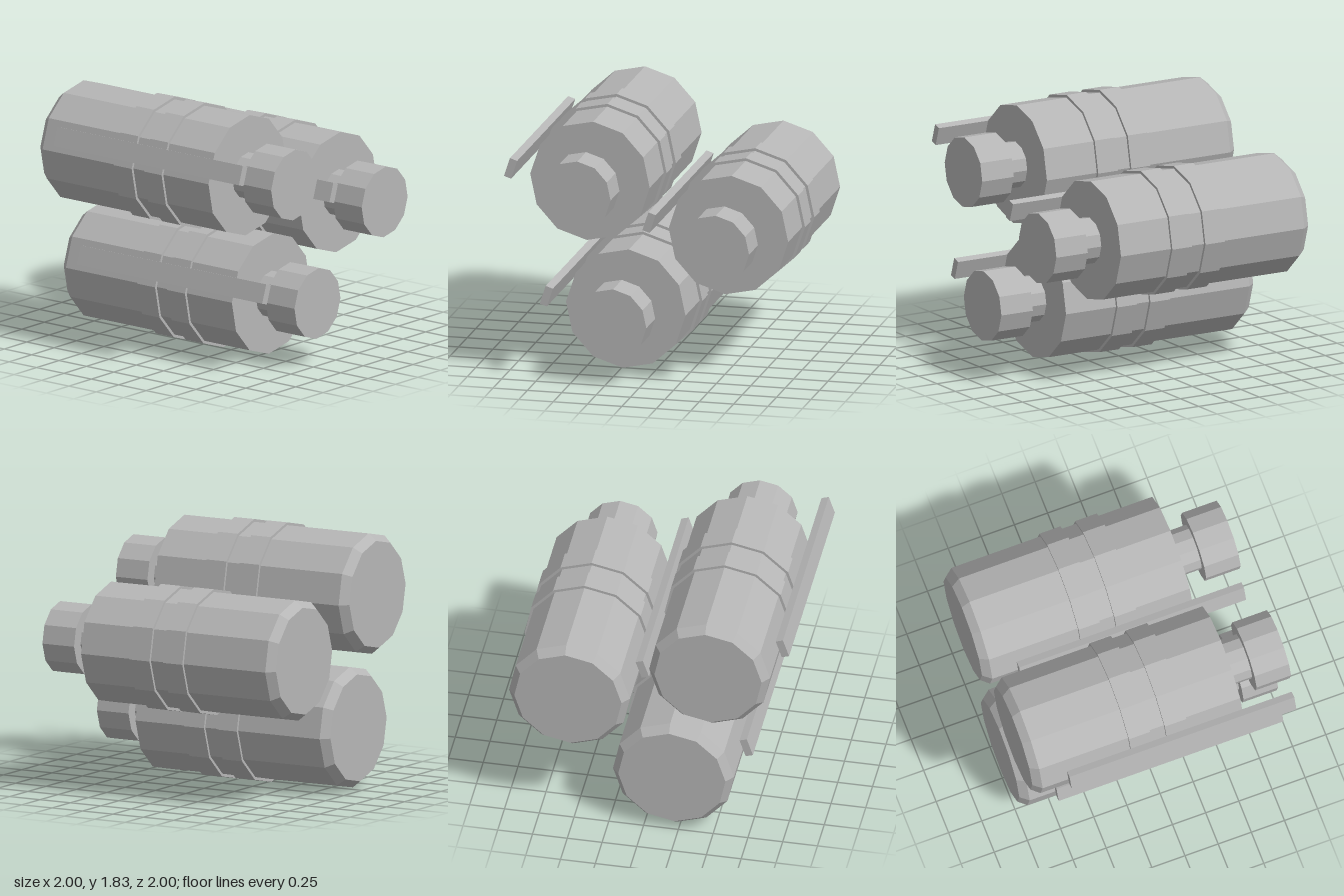
import * as THREE from 'three';

const SIDES = 12;

export function createModel() {
  const grey = new THREE.MeshStandardMaterial({ color: 0xb6b6b6, flatShading: true });
  grey.name = 'grey';
  const model = new THREE.Group();
  model.name = 'canisterCluster';

  // Twelve-sided solid along z from a [radius, z] profile, running back to front
  const turned = (name, profile) => {
    const points = profile.map(([r, z]) => new THREE.Vector2(r, z));
    const geometry = new THREE.LatheGeometry(points, SIDES)
      .rotateX(Math.PI / 2)
      .rotateZ(THREE.MathUtils.degToRad(-3))
      .toNonIndexed();
    geometry.computeVertexNormals();
    const mesh = new THREE.Mesh(geometry, grey);
    mesh.name = name;
    return mesh;
  };
  const disc = (name, r, back, front) =>
    turned(name, [[0, back], [r, back], [r, front], [0, front]]);

  const makeCanister = () => {
    const canister = new THREE.Group();
    // Main body with a chamfered rear edge
    canister.add(turned('body', [[0, -1], [0.386, -1], [0.435, -0.94], [0.435, 0.575], [0, 0.575]]));
    // Two raised bands
    canister.add(disc('frontBand', 0.455, 0, 0.163));
    canister.add(disc('rearBand', 0.455, -0.27, -0.11));
    // Neck and cap
    canister.add(disc('neck', 0.167, 0.575, 0.745));
    canister.add(disc('cap', 0.256, 0.74, 1));
    // Tilted rail beside the body
    const rail = new THREE.Mesh(new THREE.BoxGeometry(0.055, 0.14, 1.695), grey);
    rail.name = 'rail';
    rail.position.set(-0.488, 0.155, 0.088);
    rail.rotation.z = -0.32;
    canister.add(rail);
    return canister;
  };

  const places = [
    ['upperRightCanister', -0.463, 1.375],
    ['leftCanister', 0.544, 1.045],
    ['lowerCanister', -0.203, 0.457],
  ];
  for (const [name, x, y] of places) {
    const canister = makeCanister();
    canister.name = name;
    canister.position.set(x, y, 0);
    model.add(canister);
  }
  return model;
}
